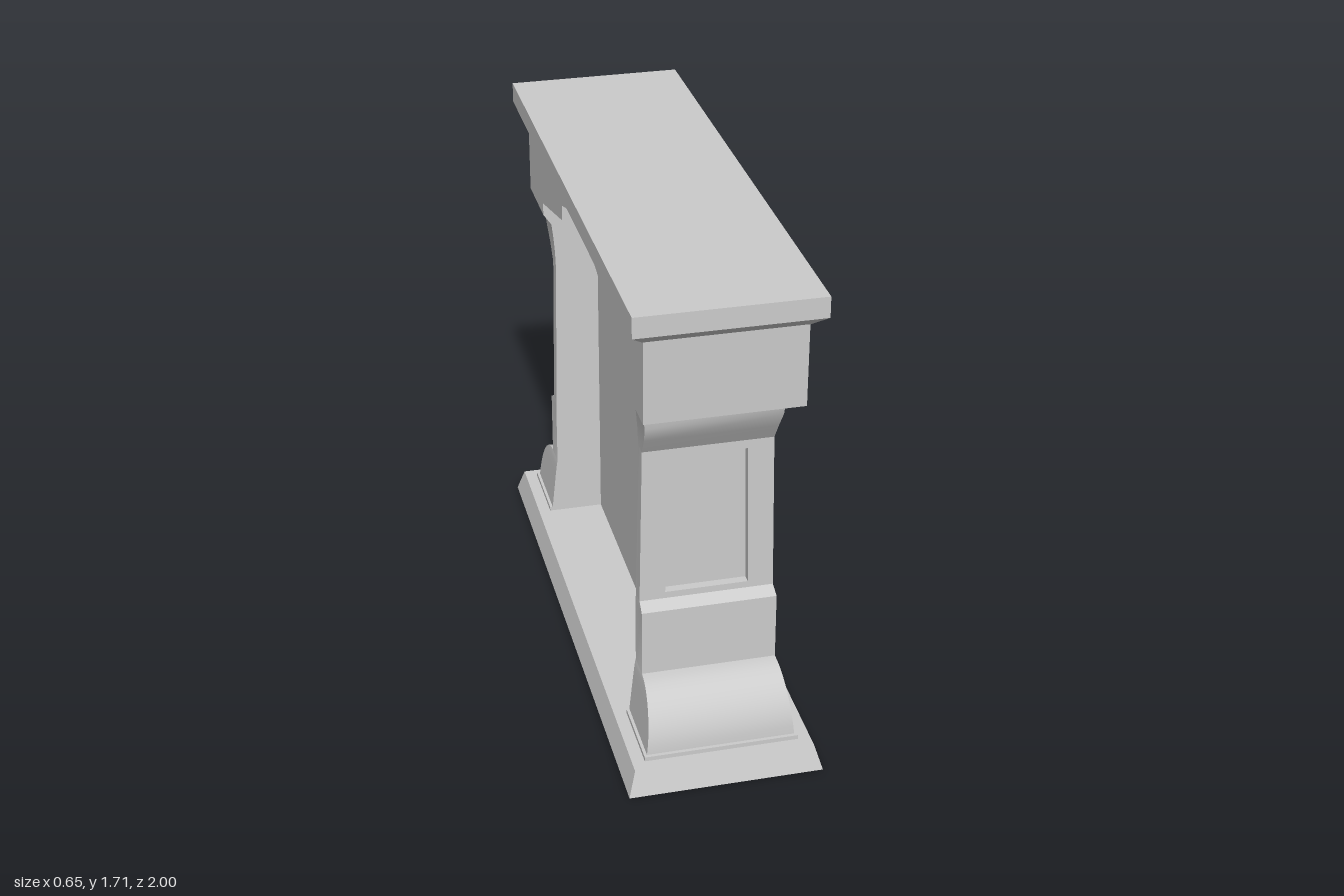
import * as THREE from 'three';
import { toCreasedNormals } from 'three/addons/utils/BufferGeometryUtils.js';

const material = new THREE.MeshStandardMaterial({ color: 0xcccccc });
const INNER = 0.66; // half width of the opening between the pillars

function part(name, geometry, parent) {
  const mesh = new THREE.Mesh(geometry, material);
  mesh.name = name;
  parent.add(mesh);
  return mesh;
}

// Stack of rectangles [y, half width in x, outer z]; inner z is fixed, or mirrored when not given
function loft(rows, inner) {
  const pos = [], index = [];
  rows.forEach(([y, hx, zo]) => {
    const zi = inner ?? -zo;
    pos.push(hx, y, zo, hx, y, zi, -hx, y, zi, -hx, y, zo);
  });
  for (let r = 0; r < rows.length - 1; r++) {
    for (let i = 0; i < 4; i++) {
      const a = r * 4 + i, b = r * 4 + (i + 1) % 4;
      index.push(a, b, b + 4, a, b + 4, a + 4);
    }
  }
  const t = (rows.length - 1) * 4;
  index.push(0, 2, 1, 0, 3, 2, t, t + 1, t + 2, t, t + 2, t + 3);
  const g = new THREE.BufferGeometry();
  g.setAttribute('position', new THREE.Float32BufferAttribute(pos, 3));
  g.setIndex(index);
  return toCreasedNormals(g, 0.5);
}

const vectors = pts => pts.map(([u, v]) => new THREE.Vector2(u, v));
const flip = pts => pts.map(([u, v]) => [-u, v]).reverse();
const mirrored = half => [...half, ...flip(half)];

function panel(outline, holes, depth) {
  const shape = new THREE.Shape(vectors(outline));
  holes.forEach(h => shape.holes.push(new THREE.Path(vectors(h))));
  return new THREE.ExtrudeGeometry(shape, { depth, bevelEnabled: false });
}

// Panel drawn in the z-y plane, filling x0 to x1
function sidePanel(outline, holes, x0, x1) {
  return panel(outline, holes, x1 - x0).rotateY(Math.PI / 2).translate(x0, 0, 0);
}

// Stepped arch, from the springing to just beside the crown
const archHalf = [[INNER, 1.365], [0.305, 1.455], [0.305, 1.51],
  [0.24, 1.53], [0.16, 1.547], [0.08, 1.557], [0.01, 1.56]];

function createPillar() {
  const pillar = new THREE.Group();
  pillar.name = 'pillar';
  part('pillarFoot', loft([[0.085, 0.258, 0.93], [0.1, 0.258, 0.93]], INNER), pillar);

  // Bulging base, shaft, flared head and chamfer under the beam
  const rows = [];
  for (let i = 0; i <= 10; i++) {
    const a = i / 10 * Math.PI / 2;
    rows.push([0.1 + 0.2 * Math.sin(a), 0.225 + 0.023 * (1 - i / 10) ** 1.5, 0.75 + 0.168 * Math.cos(a)]);
  }
  rows.push([0.535, 0.225, 0.75], [0.557, 0.223, 0.71], [0.557, 0.223, 0.68],
    [1.11, 0.214, 0.68], [1.11, 0.214, 0.71], [1.17, 0.216, 0.747], [1.23, 0.221, 0.782],
    [1.28, 0.227, 0.785], [1.32, 0.255, 0.905]);
  part('pillarShaft', loft(rows, INNER), pillar);

  // Frame around the sunken panel
  part('pillarFrame', panel(
    mirrored([[0.223, 0.557], [0.214, 1.11]]),
    [mirrored([[0.138, 0.58], [0.128, 1.08]])], 0.03), pillar).position.z = 0.68;
  return pillar;
}

export function createModel() {
  const model = new THREE.Group();
  model.name = 'shelfCabinet';

  part('plinth', loft([[0, 0.325, 1], [0.085, 0.3, 0.972]]), model);
  const front = createPillar(), back = createPillar();
  front.name = 'frontPillar';
  back.name = 'backPillar';
  back.rotation.y = Math.PI;
  model.add(front, back);

  // Beam with the arch cut through it, and the cornice above
  const beamHalf = [[0.91, 1.6], [0.905, 1.32], [INNER, 1.32], ...archHalf];
  part('beam', sidePanel(mirrored(beamHalf), [], -0.255, 0.255), model);
  part('cornice', loft([[1.6, 0.257, 0.91], [1.64, 0.3, 0.96], [1.71, 0.3, 0.96]]), model);

  // Shelf front with its openings, in front of the solid backing
  const boardOutline = mirrored([[INNER, 0.085], ...archHalf]);
  const sideOpenings = [
    [[0.305, 0.83], [0.625, 0.83], [0.625, 0.975], [0.305, 0.975]],
    [[0.305, 0.995], [0.625, 0.995], [0.625, 1.13], [0.605, 1.16], [0.57, 1.187],
      [0.36, 1.187], [0.325, 1.16], [0.305, 1.13]],
    [[0.315, 1.25], [0.625, 1.25], [0.625, 1.33], [0.315, 1.415]],
  ];
  const openings = [
    mirrored([[0.625, 0.09], [0.625, 0.365]]),
    mirrored([[0.625, 0.4], [0.625, 0.65], [0.61, 0.69], [0.58, 0.725], [0.06, 0.725], [0.03, 0.717]]),
    ...sideOpenings, ...sideOpenings.map(flip),
  ];
  part('shelfFront', sidePanel(boardOutline, openings, 0.115, 0.205), model);
  part('shelfBacking', sidePanel(boardOutline, [], -0.06, 0.115), model);

  // Framed centre panel standing proud of the shelves
  const frameOuter = mirrored([[0.232, 0.83], [0.236, 1.41], [0.225, 1.435], [0.16, 1.455],
    [0.14, 1.475], [0.07, 1.493], [0.01, 1.5]]);
  const frameInner = mirrored([[0.205, 0.857], [0.208, 1.4], [0.2, 1.415], [0.14, 1.432],
    [0.12, 1.448], [0.06, 1.463], [0.01, 1.468]]);
  part('centreFrame', sidePanel(frameOuter, [frameInner], 0.27, 0.3), model);
  part('centrePanel', sidePanel(frameOuter, [], 0.25, 0.27), model);

  return model;
}
